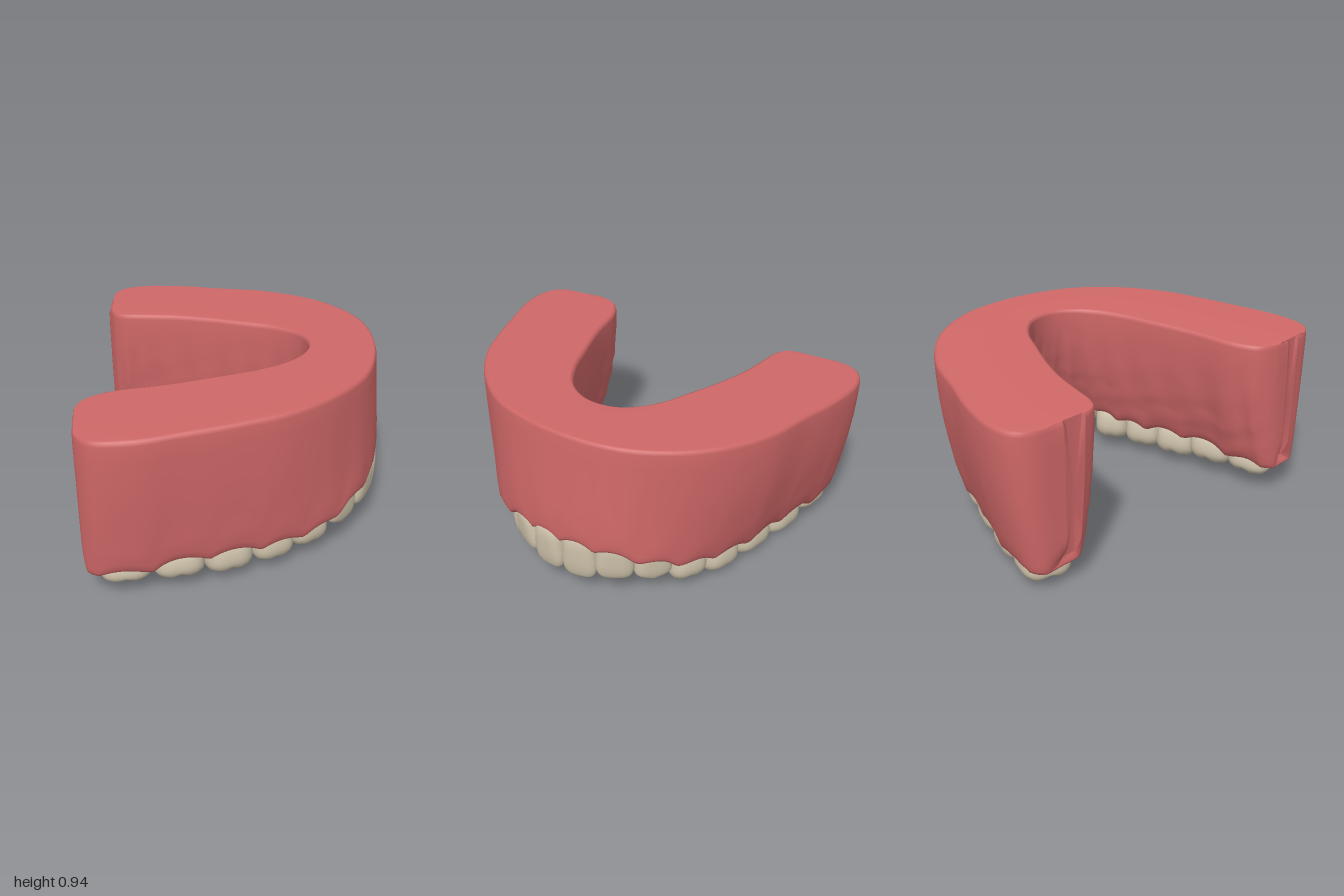
import * as THREE from 'three';
import { mergeVertices } from 'three/addons/utils/BufferGeometryUtils.js';

// Arch outline pairs: outer x, outer z, inner x, inner z, outer fraction at the gum line
const ARCH = [
  [-0.78, 0.79, -0.78, 0.71, 0.95], [-0.765, 0.89, -0.768, 0.61, 0.89], [-0.7, 0.965, -0.715, 0.52, 0.87],
  [-0.52, 0.997, -0.6, 0.47, 0.87], [-0.3, 0.967, -0.35, 0.45, 0.88], [-0.05, 0.922, -0.1, 0.41, 0.88],
  [0.18, 0.86, 0.1, 0.37, 0.89], [0.42, 0.72, 0.25, 0.31, 0.97], [0.6, 0.53, 0.34, 0.235, 1.05],
  [0.705, 0.28, 0.39, 0.15, 1.1], [0.745, 0.04, 0.4, 0.06, 1.09], [0.735, -0.17, 0.38, -0.02, 1.05],
  [0.66, -0.38, 0.33, -0.09, 0.95], [0.525, -0.57, 0.24, -0.17, 0.84], [0.3, -0.745, 0.1, -0.25, 0.78],
  [0.05, -0.85, -0.07, -0.345, 0.76], [-0.15, -0.937, -0.25, -0.425, 0.76], [-0.38, -0.997, -0.42, -0.475, 0.79],
  [-0.5, -0.98, -0.52, -0.505, 0.82], [-0.565, -0.91, -0.58, -0.55, 0.85], [-0.602, -0.75, -0.61, -0.64, 0.9],
];

// Teeth in order round the arch: outer face x, z, gum line y, tip y, width, depth, kind
const TEETH = [
  [-0.58, 0.895, 0.195, 0.08, 0.25, 0.26, 'molar'], [-0.32, 0.885, 0.23, 0.07, 0.26, 0.28, 'molar'],
  [-0.07, 0.835, 0.23, 0.05, 0.25, 0.27, 'molar'], [0.16, 0.765, 0.225, 0.055, 0.22, 0.24, 'premolar'],
  [0.36, 0.675, 0.25, 0.07, 0.21, 0.23, 'premolar'], [0.54, 0.565, 0.32, 0.11, 0.2, 0.21, 'canine'],
  [0.685, 0.425, 0.36, 0.15, 0.195, 0.21, 'incisor'], [0.76, 0.255, 0.36, 0.12, 0.18, 0.2, 'incisor'],
  [0.775, 0.07, 0.355, 0.11, 0.19, 0.2, 'incisor'], [0.74, -0.12, 0.34, 0.13, 0.2, 0.2, 'incisor'],
  [0.635, -0.295, 0.29, 0.1, 0.2, 0.21, 'canine'], [0.5, -0.445, 0.225, 0.05, 0.21, 0.23, 'premolar'],
  [0.325, -0.57, 0.2, 0.02, 0.22, 0.24, 'premolar'], [0.1, -0.675, 0.19, 0.01, 0.25, 0.27, 'molar'],
  [-0.145, -0.775, 0.18, 0.0, 0.26, 0.28, 'molar'], [-0.385, -0.86, 0.155, 0.03, 0.23, 0.25, 'molar'],
];

// Gum cross-section: position across the wall (0 inner, 1 outer) and height (0 gum line, 1 top)
const SECTION = [[0.04, 1], [0.5, 1], [0.96, 1], [0.988, 0.992], [1, 0.965]];
for (const h of [0.85, 0.7, 0.55, 0.43, 0.33, 0.25, 0.18, 0.12, 0.07, 0.03]) SECTION.push([1, h]);
SECTION.push([0.97, 0.005], [0.9, -0.005], [0.5, 0], [0.1, 0], [0.03, 0.015]);
for (const h of [0.05, 0.1, 0.16, 0.23, 0.3, 0.38, 0.47, 0.57, 0.68, 0.82]) SECTION.push([0, h]);
SECTION.push([0, 0.965], [0.012, 0.992]);

const topHeight = (x, z) => Math.min(0.95, 0.912 + 0.037 * x + 0.032 * z);

// Gum line height and closeness to a tooth centre (1 = centre, 0 = gap)
function gumLine(x, z) {
  let sum = 0, total = 0, gap = 1;
  for (const [tx, tz, y, , width] of TEETH) {
    const d = Math.hypot(x - tx, z - tz);
    const w = Math.exp(-((d / 0.11) ** 2)) + 1e-9 / (d * d + 0.01);
    sum += w * y;
    total += w;
    gap = Math.min(gap, d / (width / 2));
  }
  return { y: sum / total, near: 1 - gap * gap };
}

// Horseshoe gum lofted from cross-sections along the arch
function gumGeometry() {
  const outer = new THREE.CatmullRomCurve3(ARCH.map(([x, z, , , f]) => new THREE.Vector3(x, f, z)));
  const inner = new THREE.CatmullRomCurve3(ARCH.map(([, , x, z]) => new THREE.Vector3(x, 0, z)));
  const steps = 240, m = SECTION.length;
  const positions = [], index = [];
  for (let i = 0; i <= steps; i++) {
    const u = i / steps;
    const o = outer.getPoint(u), n = inner.getPoint(u), edge = o.y;
    const line = gumLine(n.x + (o.x - n.x) * edge, n.z + (o.z - n.z) * edge);
    const toEnd = Math.min(u, 1 - u);
    const end = Math.max(0, 1 - toEnd * 14) ** 2;
    const fade = Math.min(1, toEnd * 14);
    const bottom = line.y - 0.035 * (1 - line.near) + 0.055 * end;
    for (const [s, h] of SECTION) {
      const low = (1 - Math.max(0, h)) ** 2;
      const bulge = edge > 1 ? Math.min(1, (1 - Math.max(0, h)) * 1.4) : low;
      // Soft swellings over the roots outside, folds inside
      const root = 0.015 * line.near * Math.exp(-(((h - 0.12) / 0.12) ** 2)) * fade;
      const fold = 0.02 * Math.sin(u * 85 + h * 14) * Math.sin(u * 41 - h * 16) * fade
        * Math.sin(Math.PI * Math.min(1, Math.max(0, h) * 1.3));
      const fOut = 1 + (edge - 1) * bulge + root;
      const fIn = (edge - 0.62) * low + fold;
      const f = fIn + (fOut - fIn) * s;
      // Back ends roll under at the gum line and over at the rim
      const roll = end * (0.04 * Math.max(0, 1 - h / 0.15) ** 2 + 0.02 * Math.max(0, (h - 0.95) / 0.05) ** 2);
      const x = n.x + (o.x - n.x) * f + roll, z = n.z + (o.z - n.z) * f;
      positions.push(x, bottom + (topHeight(x, z) - bottom) * h, z);
    }
  }
  for (let i = 0; i < steps; i++) for (let j = 0; j < m; j++) {
    const k = (j + 1) % m;
    const a = i * m + j, b = i * m + k, c = a + m, d = b + m;
    index.push(a, b, c, b, d, c);
  }
  // Closed back ends
  for (const [row, first] of [[0, true], [steps, false]]) {
    const center = positions.length / 3, sum = [0, 0, 0];
    for (let j = 0; j < m * 3; j++) sum[j % 3] += positions[row * m * 3 + j] / m;
    positions.push(...sum);
    for (let j = 0; j < m; j++) {
      const a = row * m + j, b = row * m + (j + 1) % m;
      index.push(center, first ? b : a, first ? a : b);
    }
  }
  const g = new THREE.BufferGeometry();
  g.setAttribute('position', new THREE.Float32BufferAttribute(positions, 3));
  g.setIndex(index);
  g.computeVertexNormals();
  return g;
}

// Rounded block shaped into a crown; +z is the outer face, tip at y = 0
function toothGeometry(width, height, depth, kind) {
  const sphere = new THREE.SphereGeometry(1, 36, 24);
  sphere.deleteAttribute('uv');
  sphere.deleteAttribute('normal');
  const g = mergeVertices(sphere, 1e-4);
  const p = g.attributes.position, n = 3.4;
  const grinding = kind === 'molar' || kind === 'premolar';
  for (let i = 0; i < p.count; i++) {
    let x = p.getX(i), y = p.getY(i), z = p.getZ(i);
    const r = (Math.abs(x) ** n + Math.abs(y) ** n + Math.abs(z) ** n) ** (1 / n);
    x /= r; y /= r; z /= r;
    const up = (y + 1) / 2, tip = Math.max(0, -y) ** 4;
    let lift = 0;
    if (grinding) {
      // Cusps parted by crossing grooves
      const along = Math.exp(-((z / 0.25) ** 2));
      const across = kind === 'molar' ? Math.exp(-((x / 0.16) ** 2)) : 0;
      lift = tip * (0.04 * Math.max(along, across * 0.7) + 0.008 * Math.cos(x * 9) * Math.cos(z * 7));
      z *= 0.84 + 0.16 * Math.sin(Math.PI * Math.min(1, up + 0.1));
    } else {
      // Thin biting edge kept towards the outer face
      z = 0.92 - (0.92 - z) * (0.38 + 0.62 * Math.min(1, up * 1.15));
      z -= 0.12 * (1 - up) ** 2;
      if (kind === 'canine') lift = tip * 0.04 * Math.abs(x);
    }
    p.setXYZ(i, x * width / 2 * (1.0 - 0.1 * up), up * height + lift, z * depth / 2);
  }
  g.computeVertexNormals();
  return g;
}

export function createModel() {
  const model = new THREE.Group();
  model.name = 'upperDentalArch';
  const gumPink = new THREE.MeshStandardMaterial({ color: 0xd06868 });
  gumPink.name = 'gumPink';
  const toothIvory = new THREE.MeshStandardMaterial({ color: 0xd0c4ac });
  toothIvory.name = 'toothIvory';

  const gum = new THREE.Mesh(gumGeometry(), gumPink);
  gum.name = 'gum';
  model.add(gum);

  const teeth = new THREE.Group();
  teeth.name = 'teeth';
  TEETH.forEach(([x, z, line, tip, width, depth, kind], i) => {
    const a = TEETH[Math.max(0, i - 1)], b = TEETH[Math.min(TEETH.length - 1, i + 1)];
    const dx = b[0] - a[0], dz = b[1] - a[1], len = Math.hypot(dx, dz);
    const nx = -dz / len, nz = dx / len;
    const tooth = new THREE.Mesh(toothGeometry(width * 1.02, line + 0.05 - tip, depth, kind), toothIvory);
    tooth.name = kind + (i + 1);
    tooth.position.set(x - nx * depth / 2, tip, z - nz * depth / 2);
    tooth.rotation.y = Math.atan2(nx, nz);
    teeth.add(tooth);
  });
  model.add(teeth);
  return model;
}
